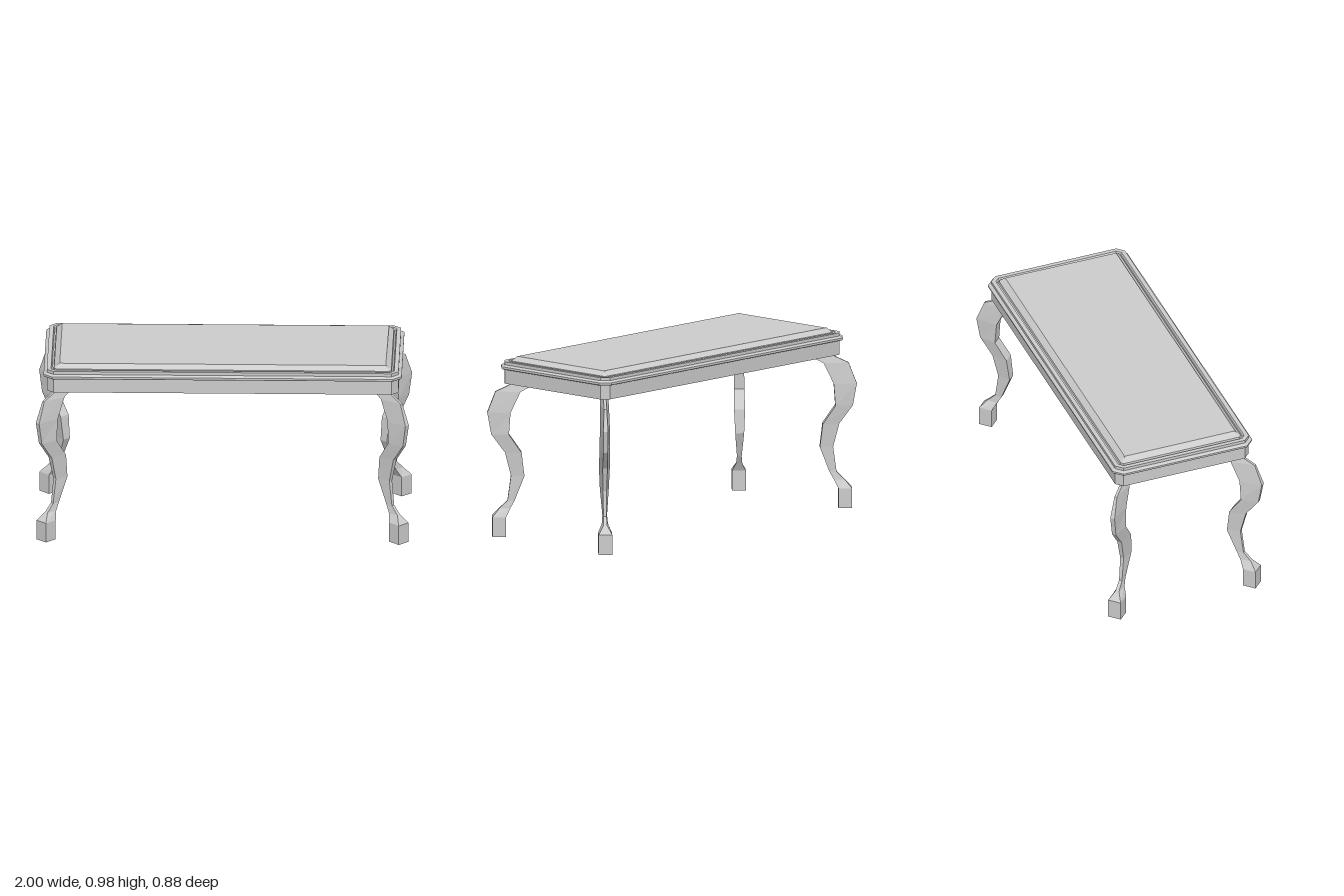
import * as THREE from 'three';

const material = new THREE.MeshStandardMaterial({ color: 0xcccccc, flatShading: true });

// Joins rings of points (counter-clockwise from above, stacked upwards) and caps both ends.
function loft(rings, name) {
  const pos = [];
  const tri = (...pts) => pts.forEach((p) => pos.push(...p));
  const n = rings[0].length;
  for (let r = 0; r < rings.length - 1; r++) {
    for (let i = 0; i < n; i++) {
      const j = (i + 1) % n;
      const lo = rings[r], hi = rings[r + 1];
      tri(lo[i], lo[j], hi[j]);
      tri(lo[i], hi[j], hi[i]);
    }
  }
  const bottom = rings[0], top = rings[rings.length - 1];
  for (let i = 1; i < n - 1; i++) {
    tri(bottom[0], bottom[i + 1], bottom[i]);
    tri(top[0], top[i], top[i + 1]);
  }
  const geometry = new THREE.BufferGeometry();
  geometry.setAttribute('position', new THREE.Float32BufferAttribute(pos, 3));
  geometry.computeVertexNormals();
  const mesh = new THREE.Mesh(geometry, material);
  mesh.name = name;
  return mesh;
}

const LENGTHEN = 0.558; // how much the table is longer than it is deep, per side

// Rectangle with clipped corners, given its half depth and height.
function clippedRect([z, y]) {
  const x = z + LENGTHEN;
  const k = 0.036 + (z - 0.385) * 0.59;
  return [
    [x, y, z - k], [x, y, k - z], [x - k, y, -z], [k - x, y, -z],
    [-x, y, k - z], [-x, y, z - k], [k - x, y, z], [x - k, y, z],
  ];
}

// Leg stations: height, outer and inner position, outer and inner half width (measured along z).
const LEG = [
  [0, 0.414, 0.362, 0.026, 0.026],
  [0.108, 0.414, 0.362, 0.026, 0.026],
  [0.152, 0.387, 0.346, 0.007, 0.012],
  [0.195, 0.356, 0.329, 0.006, 0.009],
  [0.33, 0.343, 0.292, 0.007, 0.017],
  [0.457, 0.366, 0.303, 0.009, 0.021],
  [0.556, 0.418, 0.351, 0.008, 0.02],
  [0.675, 0.433, 0.345, 0.009, 0.019],
  [0.788, 0.402, 0.307, 0.005, 0.017],
  [0.836, 0.331, 0.243, 0.005, 0.015],
];

function makeLeg(sx, sz, name) {
  const d = Math.SQRT2;
  const leg = loft(LEG.map(([y, o, i, wo, wi]) => [
    [o * d, y, wo * d], [o * d, y, -wo * d], [i * d, y, -wi * d], [i * d, y, wi * d],
  ]), name);
  leg.position.x = sx * LENGTHEN;
  leg.rotation.y = Math.atan2(-sz, sx); // point the knee out along the diagonal
  return leg;
}

export function createModel() {
  const table = new THREE.Group();
  table.name = 'table';

  // Apron, moulding, rim, groove and bevelled panel as one stepped profile
  const profile = [
    [0.385, 0.835], [0.385, 0.91], [0.398, 0.914], [0.402, 0.92], [0.402, 0.928],
    [0.39, 0.936], [0.385, 0.937], [0.385, 0.954], [0.362, 0.954], [0.357, 0.942],
    [0.349, 0.942], [0.346, 0.954], [0.316, 0.978],
  ];
  table.add(loft(profile.map(clippedRect), 'tabletop'));

  // Curved legs with square feet, one under each corner
  for (const sx of [-1, 1]) {
    for (const sz of [-1, 1]) {
      table.add(makeLeg(sx, sz, (sz > 0 ? 'front' : 'back') + (sx > 0 ? 'Left' : 'Right') + 'Leg'));
    }
  }
  return table;
}
